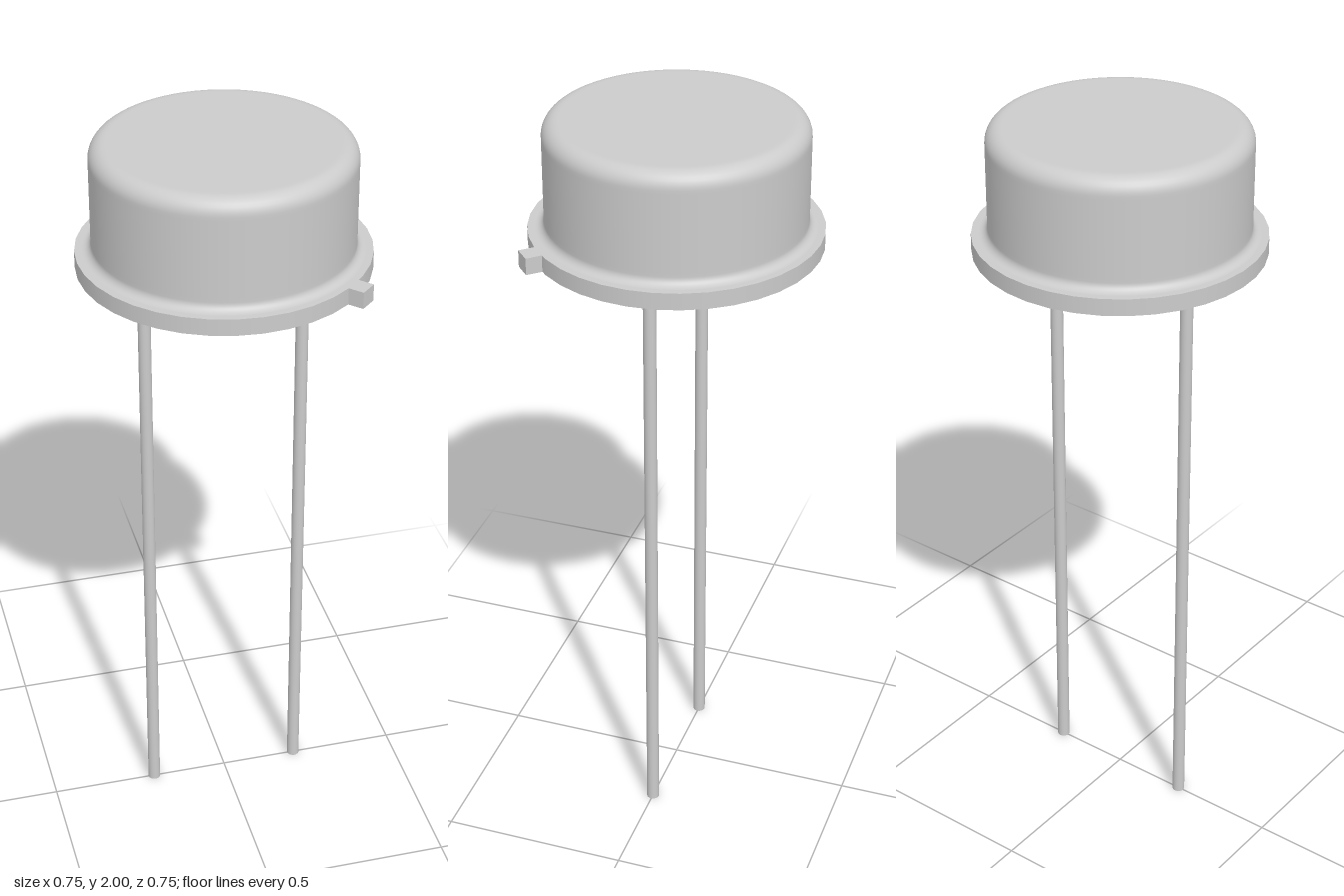
import * as THREE from 'three';

const BASE = 1.665, FLANGE_TOP = 1.71, TOP = 2;
const CAP_R = 0.335, FLANGE_R = 0.377, PIN_R = 0.017;

export function createModel() {
  const model = new THREE.Group();
  model.name = 'metalCanComponent';
  const material = new THREE.MeshStandardMaterial({ color: 0xcccccc });

  const add = (name, geometry, parent = model) => {
    const mesh = new THREE.Mesh(geometry, material);
    mesh.name = name;
    parent.add(mesh);
    return mesh;
  };
  const lathe = (points, sides) =>
    new THREE.LatheGeometry(points.map(([r, y]) => new THREE.Vector2(r, y)), sides);
  // Quarter arc in the profile plane, from angle a to angle b
  const arc = (cx, cy, r, a, b, steps = 8) =>
    Array.from({ length: steps + 1 }, (_, i) => {
      const t = a + (b - a) * i / steps;
      return [cx + r * Math.cos(t), cy + r * Math.sin(t)];
    });

  // Can: flared foot, straight wall, rounded shoulder, flat lid
  const foot = 0.022, round = 0.042;
  add('can', lathe([
    ...arc(CAP_R + foot, FLANGE_TOP + foot, foot, Math.PI * 1.5, Math.PI),
    [CAP_R, FLANGE_TOP + foot + 0.01],
    [CAP_R, TOP - round - 0.01],
    ...arc(CAP_R - round, TOP - round, round, 0, Math.PI / 2),
    [CAP_R - round - 0.01, TOP],
    [0, TOP],
  ], 72));

  // Flange: separate strips keep its edges sharp
  const flange = new THREE.Group();
  flange.name = 'flange';
  model.add(flange);
  add('flangeTop', lathe([[FLANGE_R, FLANGE_TOP], [CAP_R - 0.01, FLANGE_TOP]], 36), flange);
  add('flangeEdge', lathe([[FLANGE_R, BASE], [FLANGE_R, FLANGE_TOP]], 36), flange);
  add('flangeBottom', lathe([[CAP_R, BASE], [FLANGE_R, BASE]], 36), flange);

  // Recessed underside with a coved rim
  const cove = 0.04;
  add('underside', lathe([
    [0, BASE + cove],
    [CAP_R - cove - 0.01, BASE + cove],
    ...arc(CAP_R - cove, BASE, cove, Math.PI / 2, 0),
  ], 36));

  // Locating tab on the flange
  const angle = THREE.MathUtils.degToRad(47);
  const tab = add('locatingTab', new THREE.BoxGeometry(0.068, FLANGE_TOP - BASE, 0.05));
  tab.position.set(0.384 * Math.cos(angle), (BASE + FLANGE_TOP) / 2, 0.384 * Math.sin(angle));
  tab.rotation.y = -angle;

  // Two lead wires
  const length = BASE + cove;
  for (const side of [-1, 1]) {
    const pin = add(side > 0 ? 'leftLead' : 'rightLead',
      new THREE.CylinderGeometry(PIN_R, PIN_R, length, 16));
    pin.position.set(side * 0.21, length / 2, 0);
  }

  return model;
}
